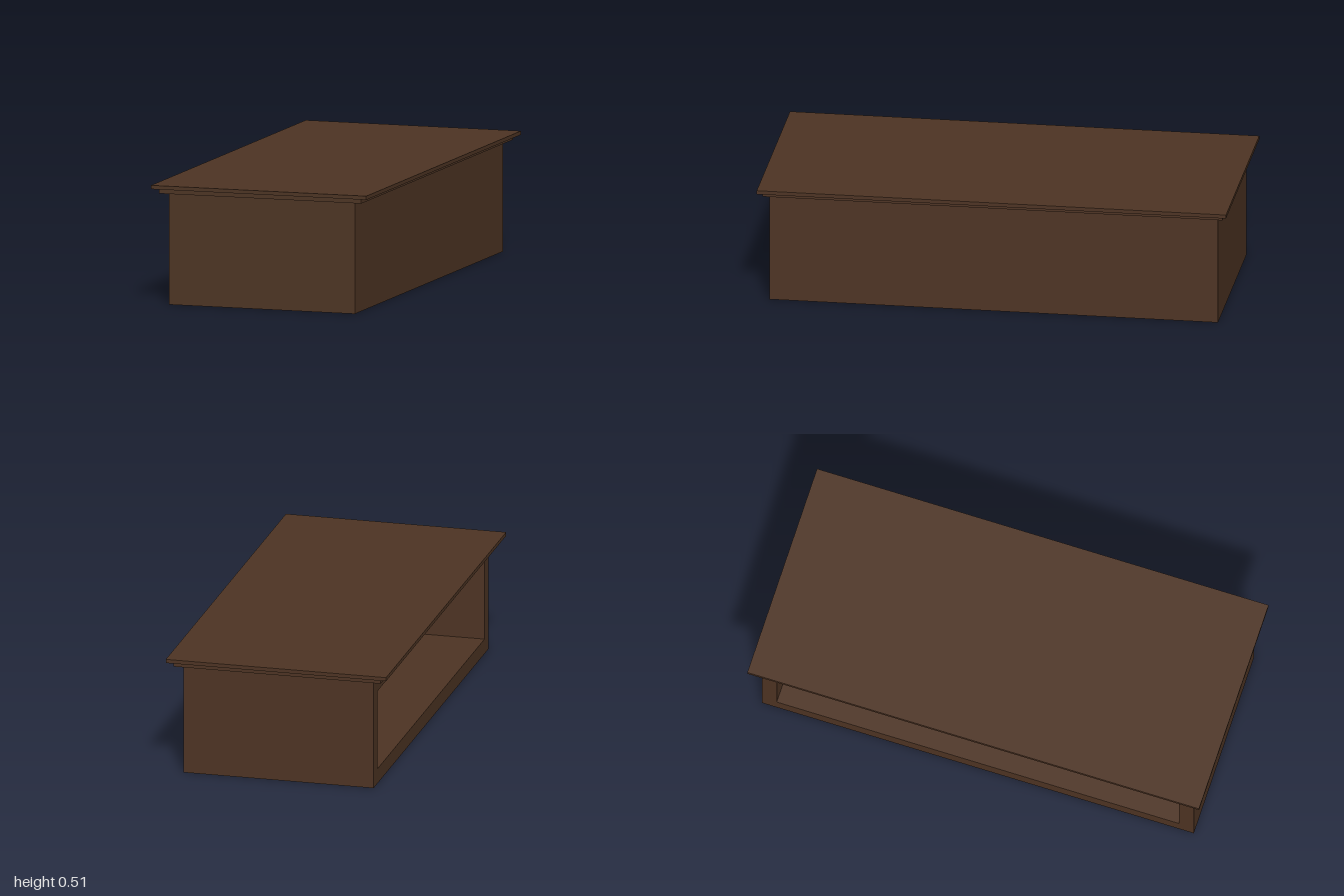
import * as THREE from 'three';

export function createModel() {
  const group = new THREE.Group();
  const wood = new THREE.MeshStandardMaterial({ color: 0x4e3423 });
  wood.name = 'dark brown wood';

  const add = (name, geometry, x = 0, y = 0, z = 0) => {
    const mesh = new THREE.Mesh(geometry, wood);
    mesh.name = name;
    mesh.position.set(x, y, z);
    group.add(mesh);
  };

  const halfX = 0.414, halfZ = 0.956, bodyTop = 0.475, wall = 0.065;
  const depth = halfX * 2 - wall;

  // Carcass: rectangular frame with an opening toward -x
  const frame = new THREE.Shape([
    new THREE.Vector2(-halfZ, 0), new THREE.Vector2(halfZ, 0),
    new THREE.Vector2(halfZ, bodyTop), new THREE.Vector2(-halfZ, bodyTop),
  ]);
  const inZ = halfZ - wall, inTop = bodyTop - wall;
  frame.holes.push(new THREE.Path([
    new THREE.Vector2(-inZ, wall), new THREE.Vector2(-inZ, inTop),
    new THREE.Vector2(inZ, inTop), new THREE.Vector2(inZ, wall),
  ]));
  const carcass = new THREE.ExtrudeGeometry(frame, { depth, bevelEnabled: false });
  carcass.rotateY(-Math.PI / 2);
  add('carcass', carcass, halfX - wall);

  // Closed long side
  add('closedSidePanel', new THREE.BoxGeometry(wall, bodyTop, halfZ * 2),
    halfX - wall / 2, bodyTop / 2);

  // Stepped top
  add('topMoulding', new THREE.BoxGeometry(0.902, 0.02, 1.96), 0, bodyTop + 0.01);
  add('topBoard', new THREE.BoxGeometry(0.96, 0.016, 2), 0, bodyTop + 0.028);

  return group;
}
